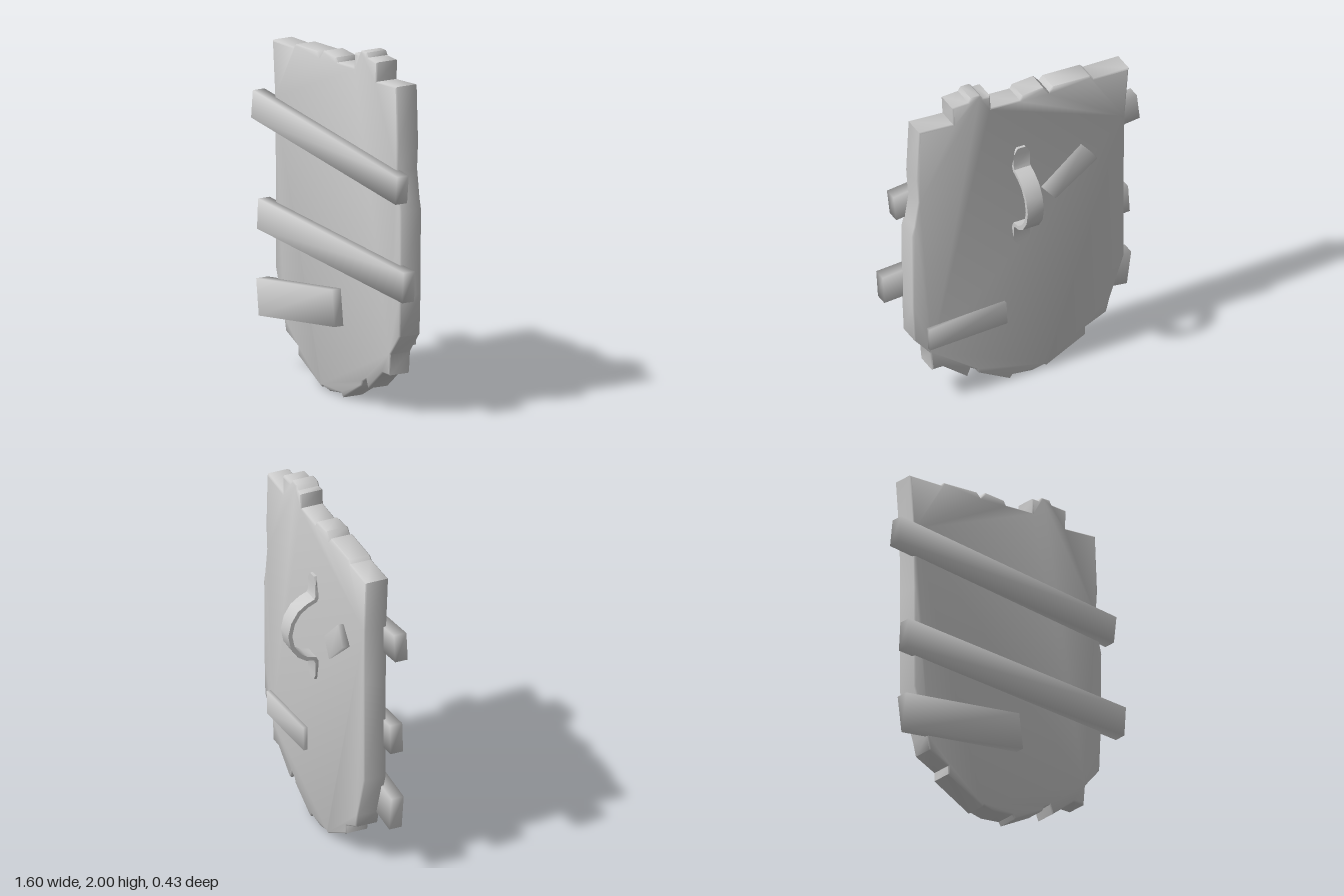
import * as THREE from 'three';
import { mergeVertices, toCreasedNormals } from 'three/addons/utils/BufferGeometryUtils.js';

const material = new THREE.MeshStandardMaterial({ color: 0xcccccc });

function add(parent, name, geometry) {
  const mesh = new THREE.Mesh(geometry, material);
  mesh.name = name;
  parent.add(mesh);
  return mesh;
}

// Box with normals shared across its edges, for a worn, soft look
function softBox(w, h, d) {
  const g = new THREE.BoxGeometry(w, h, d, 1, 1, 1);
  g.deleteAttribute('normal');
  g.deleteAttribute('uv');
  const soft = mergeVertices(g);
  soft.computeVertexNormals();
  return soft;
}

function board(parent, name, [w, h, d], [x, y, z], angle, tilt = 0) {
  const mesh = add(parent, name, softBox(w, h, d));
  mesh.position.set(x, y, z);
  mesh.rotation.set(0, tilt, angle, 'YXZ');
  return mesh;
}

// Slab with a chipped top edge and a ragged, rounded bottom
function shieldBody() {
  const outline = [
    [-0.67, 1.865], [-0.45, 1.87], [-0.43, 1.89], [-0.2, 1.9], [-0.175, 1.875],
    [-0.14, 1.915], [-0.01, 1.905], [0.005, 1.88], [0.185, 1.89], [0.19, 1.975],
    [0.235, 1.975], [0.255, 2], [0.31, 2], [0.325, 1.975], [0.425, 1.97],
    [0.42, 1.86], [0.63, 1.875], [0.645, 1.55], [0.635, 1.4], [0.66, 1.24],
    [0.675, 1.18], [0.67, 0.7], [0.66, 0.47], [0.56, 0.35], [0.55, 0.23],
    [0.48, 0.23], [0.33, 0.11], [0.31, 0.16], [0.27, 0.135], [0.26, 0.11],
    [0.065, 0.003], [0.05, 0.025], [-0.075, 0.01], [-0.15, 0.025], [-0.16, 0.015],
    [-0.4, 0.14], [-0.4, 0.19], [-0.53, 0.25], [-0.55, 0.33], [-0.64, 0.6],
    [-0.64, 1.2], [-0.645, 1.55],
  ].map(([x, y]) => new THREE.Vector2(x, y));
  const bevel = 0.008;
  const g = new THREE.ExtrudeGeometry(new THREE.Shape(outline), {
    depth: 0.135 - 2 * bevel, bevelThickness: bevel, bevelSize: bevel,
    bevelOffset: -bevel, bevelSegments: 1,
  });
  g.translate(0, 0, -0.035 + bevel);
  return toCreasedNormals(g, 0.9);
}

// Flat strap bowed away from the back; path holds [distance behind, height]
function strapHandle() {
  const path = [
    [0.04, 1.57], [0.04, 1.53], [0.04, 1.46], [0.052, 1.43], [0.1, 1.41], [0.15, 1.375],
    [0.188, 1.315], [0.205, 1.24], [0.19, 1.165], [0.15, 1.105], [0.105, 1.075],
    [0.055, 1.065], [0.042, 1.035], [0.04, 0.96], [0.04, 0.92],
  ].map(([u, y]) => new THREE.Vector2(u, y));
  const half = 0.012;
  const side = (s) => path.map((p, i) => {
    const a = path[Math.max(i - 1, 0)];
    const b = path[Math.min(i + 1, path.length - 1)];
    const t = b.clone().sub(a).normalize();
    return new THREE.Vector2(p.x - t.y * half * s, p.y + t.x * half * s);
  });
  const shape = new THREE.Shape([...side(1), ...side(-1).reverse()]);
  const g = new THREE.ExtrudeGeometry(shape, { depth: 0.1, bevelEnabled: false });
  g.translate(0, 0, -0.05);
  g.rotateY(Math.PI / 2);
  // Narrow the two tips
  const pos = g.attributes.position;
  for (let i = 0; i < pos.count; i++) {
    const y = pos.getY(i);
    if (y > 1.55 || y < 0.94) pos.setX(i, pos.getX(i) * 0.5);
  }
  return toCreasedNormals(g, 0.8);
}

export function createModel() {
  const group = new THREE.Group();
  group.name = 'woodenShield';

  // The whole shield is turned slightly about the vertical
  const shield = new THREE.Group();
  shield.name = 'shield';
  shield.rotation.y = -0.07;
  group.add(shield);

  add(shield, 'body', shieldBody());

  // Boards nailed across the front
  board(shield, 'upperPlank', [1.52, 0.16, 0.075], [-0.034, 1.4, 0.119], -0.112);
  board(shield, 'middlePlank', [1.525, 0.173, 0.075], [0.03, 0.83, 0.119], -0.063);
  board(shield, 'lowerPlank', [0.8, 0.207, 0.075], [-0.335, 0.46, 0.119], 0.131);

  // Handle and small repair patches on the back
  add(shield, 'handle', strapHandle()).position.x = 0.005;
  board(shield, 'upperPatch', [0.32, 0.13, 0.04], [-0.29, 1.3, -0.037], -0.7, -0.12);
  board(shield, 'lowerPatch', [0.48, 0.14, 0.04], [0.34, 0.47, -0.039], -0.04);

  return group;
}
